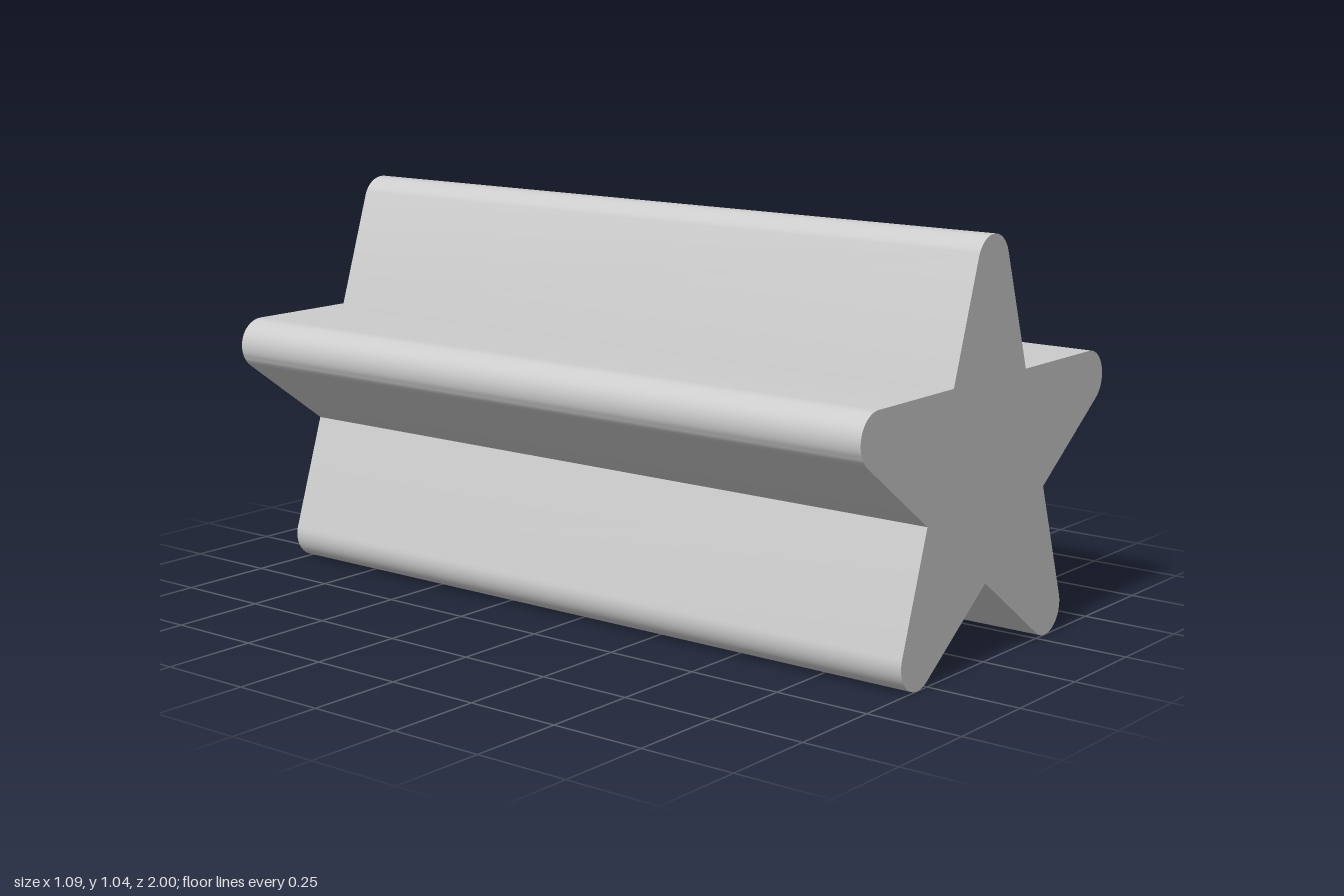
import * as THREE from 'three';
import { toCreasedNormals } from 'three/addons/utils/BufferGeometryUtils.js';

const DEPTH = 2;
const CENTRE_Y = 0.472;
const NOTCH_RADIUS = 0.276; // inner corners
const TIP_CENTRE = 0.4974;  // distance of the rounding centres
const TIP_RADIUS = 0.0696;  // rounding, tangent to both sides of a point

// Five-pointed star with rounded tips and sharp notches
function starShape() {
  const shape = new THREE.Shape();
  const step = (Math.PI * 2) / 5;
  const sweep = step; // straight flanks start 72 degrees either side of the tip
  const segments = 18;
  const points = [];
  for (let i = 0; i < 5; i++) {
    const a = Math.PI / 2 + i * step;
    const cx = Math.cos(a) * TIP_CENTRE;
    const cy = Math.sin(a) * TIP_CENTRE;
    for (let j = 0; j <= segments; j++) {
      const t = a - sweep + (2 * sweep * j) / segments;
      points.push(new THREE.Vector2(cx + Math.cos(t) * TIP_RADIUS, cy + Math.sin(t) * TIP_RADIUS));
    }
    const n = a + step / 2;
    points.push(new THREE.Vector2(Math.cos(n) * NOTCH_RADIUS, Math.sin(n) * NOTCH_RADIUS));
  }
  shape.setFromPoints(points);
  return shape;
}

export function createModel() {
  const group = new THREE.Group();
  group.name = 'starPrism';

  // Star profile drawn out along z
  const extruded = new THREE.ExtrudeGeometry(starShape(), { depth: DEPTH, bevelEnabled: false });
  extruded.translate(0, CENTRE_Y, -DEPTH / 2);
  const geometry = toCreasedNormals(extruded, Math.PI / 6);

  const body = new THREE.Mesh(geometry, new THREE.MeshStandardMaterial({ color: 0xcccccc }));
  body.name = 'starBody';
  group.add(body);
  return group;
}
